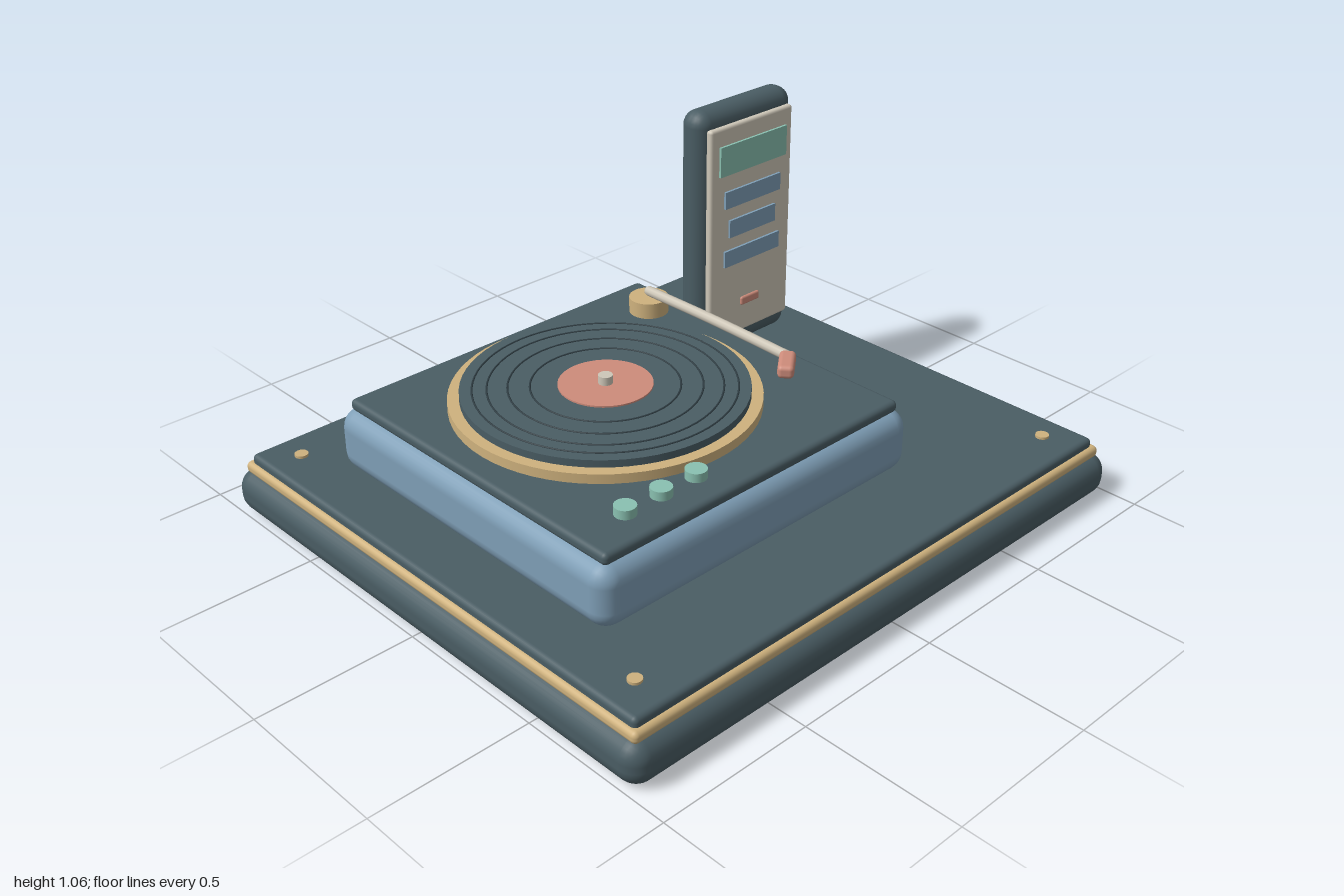
import * as THREE from 'three';
import { RoundedBoxGeometry } from 'three/addons/geometries/RoundedBoxGeometry.js';

const material = (name, color) => {
  const m = new THREE.MeshStandardMaterial({ color });
  m.name = name;
  return m;
};

export function createModel() {
  const slate = material('slate', 0x4a5d64);
  const groove = material('dark groove', 0x2f3d43);
  const blue = material('dusty blue', 0x7f9fb7);
  const gold = material('brass', 0xcfb27e);
  const coral = material('coral', 0xce8c7b);
  const mint = material('mint', 0x8ac1b1);
  const cream = material('cream', 0xcec7b8);

  const model = new THREE.Group();
  model.name = 'turntableSet';

  const add = (parent, name, geometry, mat, x = 0, y = 0, z = 0) => {
    const mesh = new THREE.Mesh(geometry, mat);
    mesh.name = name;
    mesh.position.set(x, y, z);
    parent.add(mesh);
    return mesh;
  };
  // Rounded box given by its limits on each axis
  const slab = (parent, name, mat, [x0, x1], [y0, y1], [z0, z1], radius, segments = 3) =>
    add(parent, name, new RoundedBoxGeometry(x1 - x0, y1 - y0, z1 - z0, segments, radius),
      mat, (x0 + x1) / 2, (y0 + y1) / 2, (z0 + z1) / 2);
  // Upright disc given by its bottom and top
  const disc = (parent, name, mat, radius, y0, y1, x, z, sides = 32) =>
    add(parent, name, new THREE.CylinderGeometry(radius, radius, y1 - y0, sides), mat, x, (y0 + y1) / 2, z);
  const group = (name) => {
    const g = new THREE.Group();
    g.name = name;
    model.add(g);
    return g;
  };

  // Plinth with brass trim, top panel and corner studs
  const base = group('base');
  slab(base, 'plinth', slate, [-1, 1], [0, 0.14], [-0.9, 0.9], 0.06);
  slab(base, 'plinthTrim', gold, [-0.97, 0.97], [0.128, 0.166], [-0.87, 0.87], 0.016);
  slab(base, 'plinthPanel', slate, [-0.955, 0.955], [0.15, 0.193], [-0.853, 0.853], 0.016);
  for (const x of [-0.85, 0.85])
    for (const z of [-0.74, 0.74]) disc(base, 'stud', gold, 0.021, 0.185, 0.201, x, z, 16);

  // Turntable body and deck
  const turntable = group('turntable');
  slab(turntable, 'body', blue, [-0.8, 0.415], [0.193, 0.392], [-0.61, 0.572], 0.06);
  slab(turntable, 'deck', slate, [-0.765, 0.385], [0.383, 0.421], [-0.58, 0.54], 0.016);

  // Platter, record and spindle
  const cx = -0.228, cz = -0.055;
  disc(turntable, 'platter', gold, 0.46, 0.415, 0.451, cx, cz, 64);
  disc(turntable, 'record', slate, 0.425, 0.445, 0.474, cx, cz, 64);
  for (const r of [0.22, 0.285, 0.345, 0.388]) {
    const ring = add(turntable, 'recordGroove', new THREE.TorusGeometry(r, 0.003, 6, 64), groove, cx, 0.474, cz);
    ring.rotation.x = Math.PI / 2;
  }
  disc(turntable, 'recordLabel', coral, 0.14, 0.471, 0.479, cx, cz, 48);
  disc(turntable, 'spindle', cream, 0.022, 0.474, 0.505, cx, cz, 16);

  // Tonearm on its pivot, with an angled head
  const tonearm = group('tonearm');
  disc(tonearm, 'pivot', gold, 0.063, 0.418, 0.472, 0.262, -0.395);
  const armPath = new THREE.CatmullRomCurve3([
    new THREE.Vector3(0.26, 0.492, -0.39),
    new THREE.Vector3(0.263, 0.492, -0.1),
    new THREE.Vector3(0.255, 0.492, 0.22),
  ]);
  add(tonearm, 'armTube', new THREE.TubeGeometry(armPath, 16, 0.016, 10), cream);
  for (const end of [armPath.getPoint(0), armPath.getPoint(1)])
    add(tonearm, 'armEnd', new THREE.SphereGeometry(0.016, 10, 8), cream, end.x, end.y, end.z);
  const head = add(tonearm, 'headshell', new RoundedBoxGeometry(0.115, 0.042, 0.05, 3, 0.014),
    coral, 0.215, 0.491, 0.25);
  head.rotation.y = Math.PI / 4.6;

  // Control knobs
  for (const x of [-0.595, -0.465, -0.335])
    disc(turntable, 'knob', mint, 0.032, 0.415, 0.449, x, 0.43, 24);

  // Upright handset with a face plate, screen and buttons
  const handset = group('handset');
  slab(handset, 'handsetCase', slate, [0.41, 0.835], [0.203, 1.06], [-0.42, -0.312], 0.05);
  slab(handset, 'facePlate', cream, [0.44, 0.808], [0.268, 1.008], [-0.325, -0.295], 0.01, 2);
  const plates = [
    ['screen', mint, 0.625, 0.898, 0.3, 0.1],
    ['upperButton', blue, 0.625, 0.762, 0.252, 0.058],
    ['middleButton', blue, 0.625, 0.658, 0.21, 0.06],
    ['lowerButton', blue, 0.625, 0.556, 0.252, 0.056],
  ];
  for (const [name, mat, x, y, w, h] of plates)
    add(handset, name, new THREE.BoxGeometry(w, h, 0.009), mat, x, y, -0.2915);
  add(handset, 'callButton', new RoundedBoxGeometry(0.085, 0.03, 0.016, 2, 0.007), coral, 0.623, 0.38, -0.295);

  return model;
}
